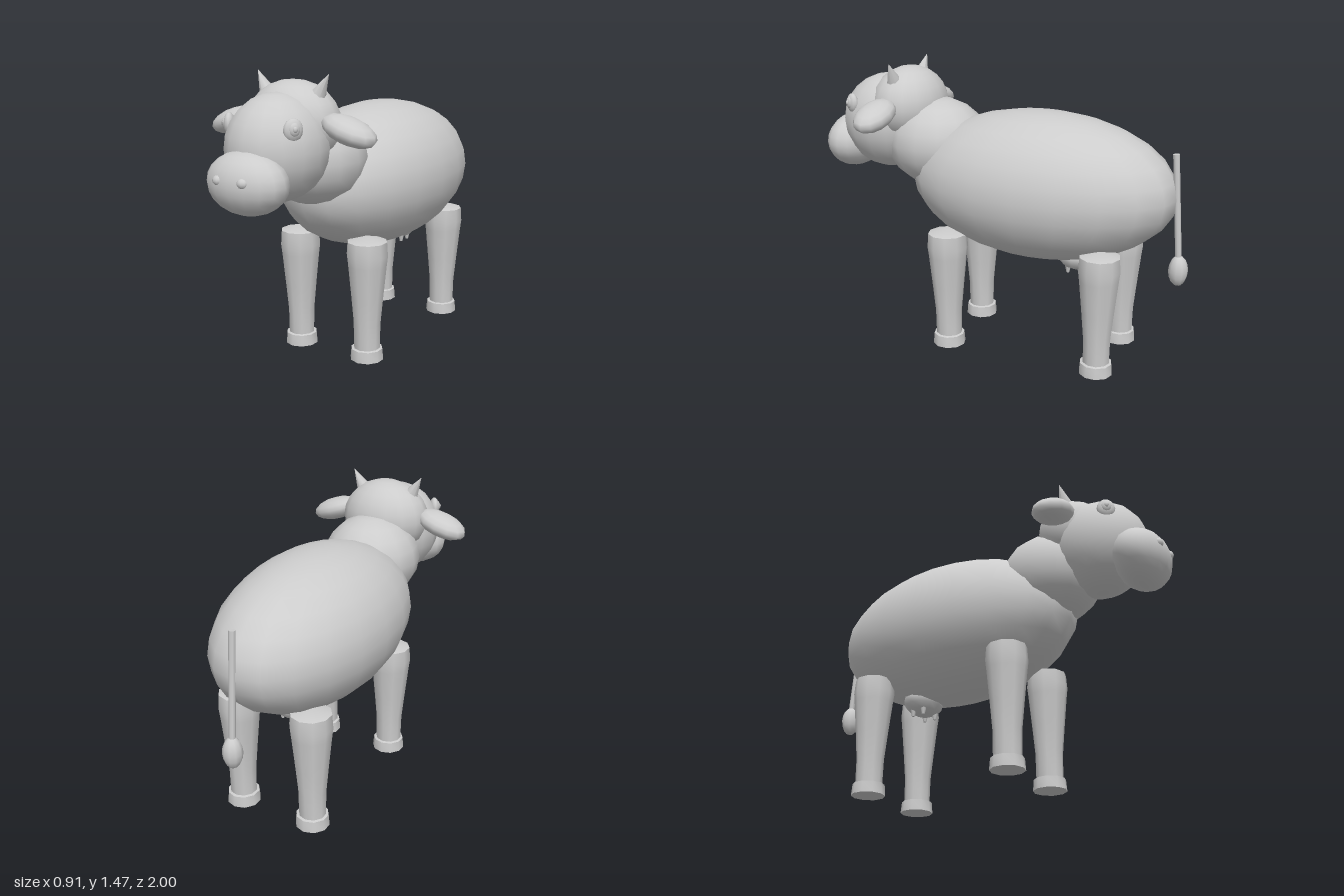
import * as THREE from 'three';
import { toCreasedNormals } from 'three/addons/utils/BufferGeometryUtils.js';

export function createModel() {
  const cow = new THREE.Group();
  cow.name = 'cow';
  const grey = new THREE.MeshStandardMaterial({ color: 0xcccccc });
  grey.name = 'light grey';

  const add = (name, geometry, pos, parent = cow) => {
    const mesh = new THREE.Mesh(geometry, grey);
    mesh.name = name;
    mesh.position.set(...pos);
    parent.add(mesh);
    return mesh;
  };
  // Ellipsoid with its own radii
  const ball = (name, pos, radii, w = 16, h = 12, parent = cow) =>
    add(name, new THREE.SphereGeometry(1, w, h).scale(...radii), pos, parent);
  // Tapered rod between two points
  const rod = (name, from, to, r0, r1, sides = 8) => {
    const a = new THREE.Vector3(...from), b = new THREE.Vector3(...to);
    const d = b.clone().sub(a);
    const geo = new THREE.CylinderGeometry(r1, r0, d.length(), sides);
    const mesh = add(name, geo, a.add(b).multiplyScalar(0.5).toArray());
    mesh.quaternion.setFromUnitVectors(new THREE.Vector3(0, 1, 0), d.normalize());
    return mesh;
  };
  const lathe = (points, sides) => toCreasedNormals(
    new THREE.LatheGeometry(points.map(p => new THREE.Vector2(...p)), sides), 0.8);

  // Trunk, neck and head
  ball('body', [0, 0.885, -0.225], [0.4, 0.377, 0.703], 20, 14);
  ball('neck', [0, 1.05, 0.36], [0.255, 0.232, 0.27], 14, 10);
  ball('head', [0, 1.14, 0.645], [0.236, 0.25, 0.252]);
  ball('skullCap', [0, 1.237, 0.52], [0.236, 0.2, 0.192]);
  ball('muzzle', [0, 1.015, 0.862], [0.206, 0.145, 0.138]);

  // Paired face parts
  for (const s of [1, -1]) {
    const side = s > 0 ? 'left' : 'right';
    ball(side + 'Nostril', [s * 0.067, 1.04, 0.975], [0.028, 0.024, 0.025], 10, 8);

    const eye = new THREE.Group();
    eye.name = side + 'Eye';
    eye.position.set(s * 0.178, 1.248, 0.765);
    eye.rotation.set(0, s * 1.0, 0);
    cow.add(eye);
    ball('eyeball', [0, 0, 0], [0.046, 0.052, 0.026], 12, 8, eye);
    ball('iris', [0, 0.004, 0.016], [0.027, 0.031, 0.016], 10, 8, eye);
    ball('pupil', [0, 0.006, 0.028], [0.012, 0.014, 0.009], 8, 6, eye);

    const ear = ball(side + 'Ear', [s * 0.318, 1.228, 0.545], [0.143, 0.06, 0.097], 12, 8);
    ear.rotation.z = -s * 0.32;

    rod(side + 'Horn', [s * 0.145, 1.375, 0.53], [s * 0.2, 1.468, 0.525], 0.038, 0.001, 8);
  }

  // Legs with flared hooves
  const legGeo = lathe([[0.068, 0.05], [0.07, 0.19], [0.083, 0.33], [0.1, 0.5],
    [0.106, 0.55], [0.101, 0.622], [0, 0.65]], 10);
  const hoofGeo = lathe([[0, 0], [0.086, 0], [0.081, 0.058], [0.06, 0.064]], 10);
  for (const [end, z] of [['front', 0.208], ['rear', -0.613]]) {
    for (const s of [1, -1]) {
      const name = end + (s > 0 ? 'Left' : 'Right');
      add(name + 'Leg', legGeo, [s * 0.205, 0, z]);
      add(name + 'Hoof', hoofGeo, [s * 0.205, 0, z]);
    }
  }

  // Udder and teats
  ball('udder', [0, 0.54, -0.435], [0.115, 0.082, 0.105], 12, 8);
  for (const x of [-0.052, 0.052]) {
    for (const z of [-0.4, -0.465]) {
      rod('teat', [x, 0.5, z], [x, 0.447, z], 0.02, 0.008, 8);
    }
  }

  // Tail with tuft
  rod('tail', [0, 1.11, -0.905], [0, 0.59, -0.948], 0.016, 0.016, 8);
  ball('tailTuft', [0, 0.528, -0.95], [0.048, 0.079, 0.048], 10, 8);

  return cow;
}
